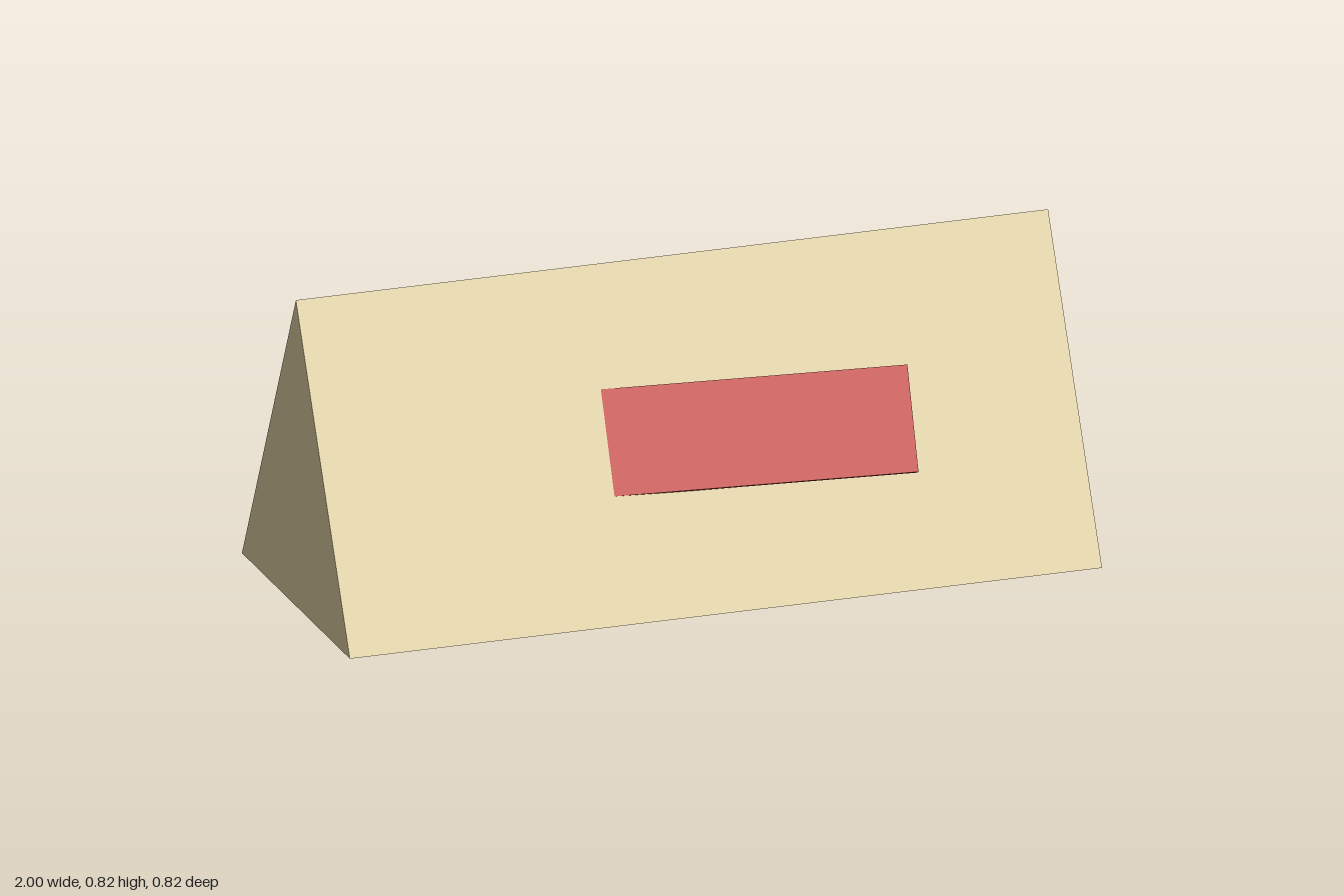
import * as THREE from 'three';

const LENGTH = 2, HEIGHT = 0.817, HALF_DEPTH = 0.4085;

export function createModel() {
  const model = new THREE.Group();
  const canvas = new THREE.MeshStandardMaterial({ color: 0xdccda0 });
  canvas.name = 'tan';
  const red = new THREE.MeshStandardMaterial({ color: 0xc4403c });
  red.name = 'red';

  // Triangular prism lying along x
  const triangle = new THREE.Shape([
    new THREE.Vector2(-HALF_DEPTH, 0),
    new THREE.Vector2(HALF_DEPTH, 0),
    new THREE.Vector2(0, HEIGHT),
  ]);
  const prism = new THREE.ExtrudeGeometry(triangle, { depth: LENGTH, bevelEnabled: false });
  prism.translate(0, 0, -LENGTH / 2).rotateY(Math.PI / 2);
  const body = new THREE.Mesh(prism, canvas);
  body.name = 'body';
  model.add(body);

  // Flaps parallel to each slope, swung open at the +x end and sunk in at the other
  const length = 0.9, height = 0.272, thickness = 0.0175;
  const tilt = Math.atan2(HALF_DEPTH, HEIGHT);
  const swing = 0.1065;
  for (const side of [1, -1]) {
    // Origin at the outer top corner of the open end
    const plate = new THREE.BoxGeometry(length, height, thickness);
    plate.translate(-length / 2, -height / 2, -side * thickness / 2);
    const flap = new THREE.Mesh(plate, red);
    flap.name = side > 0 ? 'frontFlap' : 'backFlap';
    flap.rotation.set(-side * tilt, -side * swing, 0, 'YXZ');
    flap.position.set(0.547, 0.535, side * 0.225);
    model.add(flap);
  }
  return model;
}
